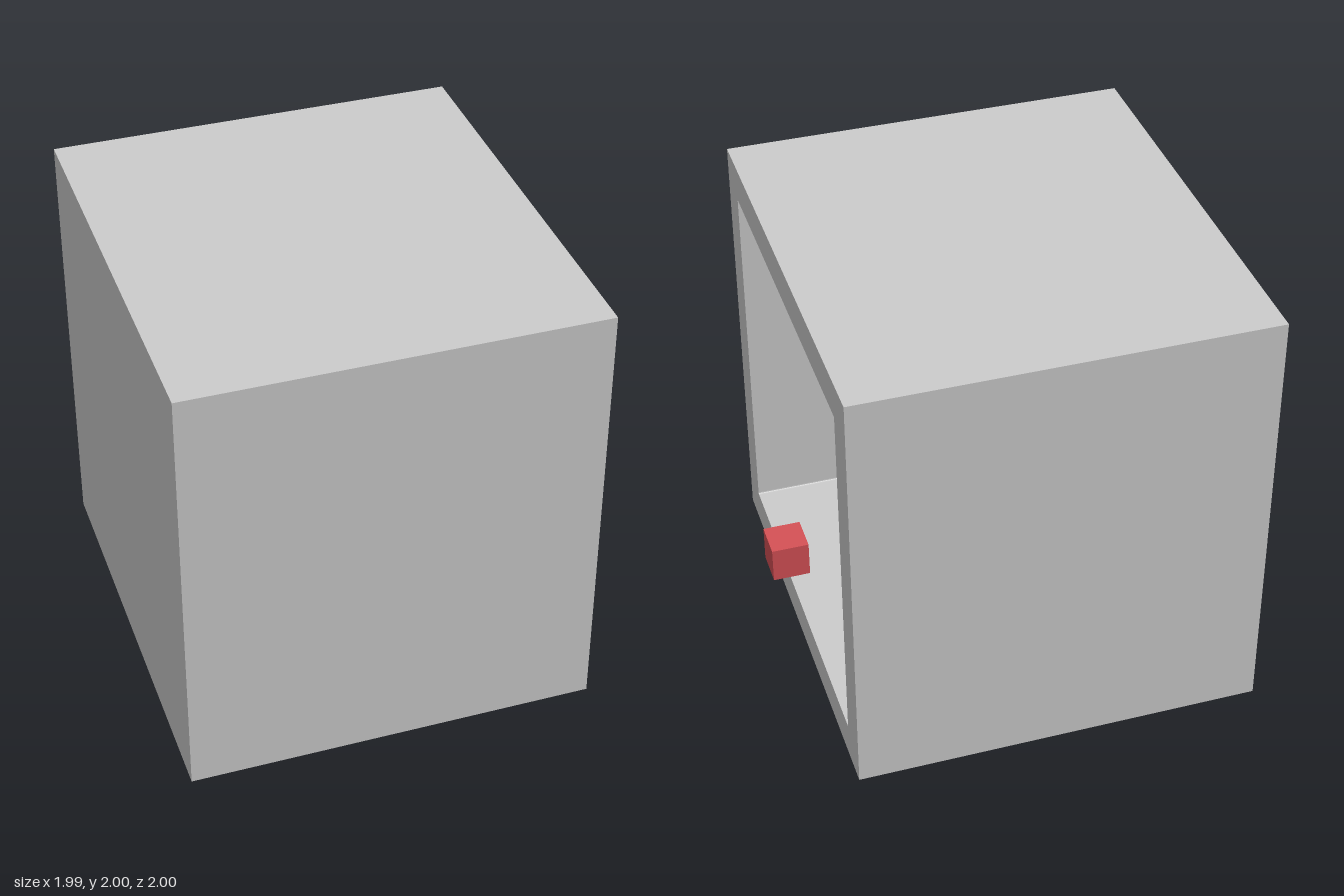
import * as THREE from 'three';

const grey = new THREE.MeshStandardMaterial({ color: 0xcccccc });
grey.name = 'light grey';
const red = new THREE.MeshStandardMaterial({ color: 0xd65156 });
red.name = 'red';

const BACK = -0.995, FRONT = 0.831, WALL = 0.165, INNER = 0.835;

function add(parent, name, geometry, material, x = 0, y = 0, z = 0) {
  const mesh = new THREE.Mesh(geometry, material);
  mesh.name = name;
  mesh.position.set(x, y, z);
  parent.add(mesh);
  return mesh;
}

// Rectangle with slightly rounded corners, centred on the origin
function roundedRect(target, w, h, r) {
  const x = w / 2, y = h / 2;
  target.moveTo(-x + r, -y);
  target.lineTo(x - r, -y);
  target.quadraticCurveTo(x, -y, x, -y + r);
  target.lineTo(x, y - r);
  target.quadraticCurveTo(x, y, x - r, y);
  target.lineTo(-x + r, y);
  target.quadraticCurveTo(-x, y, -x, y - r);
  target.lineTo(-x, -y + r);
  target.quadraticCurveTo(-x, -y, -x + r, -y);
  return target;
}

export function createModel() {
  const model = new THREE.Group();
  model.name = 'openRoom';

  // Floor, ceiling and two side walls as one square tube, open towards +x
  const outline = new THREE.Shape([
    new THREE.Vector2(-1, -1), new THREE.Vector2(1, -1),
    new THREE.Vector2(1, 1), new THREE.Vector2(-1, 1),
  ]);
  outline.holes.push(roundedRect(new THREE.Path(), INNER * 2, INNER * 2, 0.008));
  const depth = FRONT - BACK - WALL;
  const tube = new THREE.ExtrudeGeometry(outline, { depth, bevelEnabled: false, curveSegments: 3 });
  tube.rotateY(Math.PI / 2);
  add(model, 'roomShell', tube, grey, BACK + WALL, 1, 0);

  // Wall closing the far end
  add(model, 'endWall', new THREE.BoxGeometry(WALL, 2, 2), grey, BACK + WALL / 2, 1, 0);

  // Small cube just outside the opening
  add(model, 'redCube', new THREE.BoxGeometry(0.163, 0.163, 0.163), red, FRONT + 0.0815, 0.627, -0.158);

  // Ceiling lamp: round bulb on a short neck
  const lamp = new THREE.Group();
  lamp.name = 'ceilingLamp';
  const bulb = new THREE.SphereGeometry(0.055, 32, 16).toNonIndexed();
  bulb.computeVertexNormals();
  add(lamp, 'bulb', bulb, grey, 0, 1.76, 0);
  add(lamp, 'lampNeck', new THREE.CylinderGeometry(0.026, 0.026, 0.04, 24), grey, 0, 1.82, 0);
  model.add(lamp);

  // Wall switch: rounded plate with a pinched rocker
  const lightSwitch = new THREE.Group();
  lightSwitch.name = 'lightSwitch';
  lightSwitch.position.set(0.59, 0.67, -INNER);
  const plate = roundedRect(new THREE.Shape(), 0.094, 0.16, 0.008);
  add(lightSwitch, 'switchPlate',
    new THREE.ExtrudeGeometry(plate, { depth: 0.015, bevelEnabled: false, curveSegments: 4 }), grey);
  const profile = new THREE.Shape([
    new THREE.Vector2(0, -0.042), new THREE.Vector2(0.028, -0.042), new THREE.Vector2(0.018, 0),
    new THREE.Vector2(0.028, 0.042), new THREE.Vector2(0, 0.042),
  ]);
  const rocker = new THREE.ExtrudeGeometry(profile, { depth: 0.04, bevelEnabled: false });
  rocker.rotateY(-Math.PI / 2);
  add(lightSwitch, 'rocker', rocker, grey, 0.02, 0, 0);
  model.add(lightSwitch);

  return model;
}
